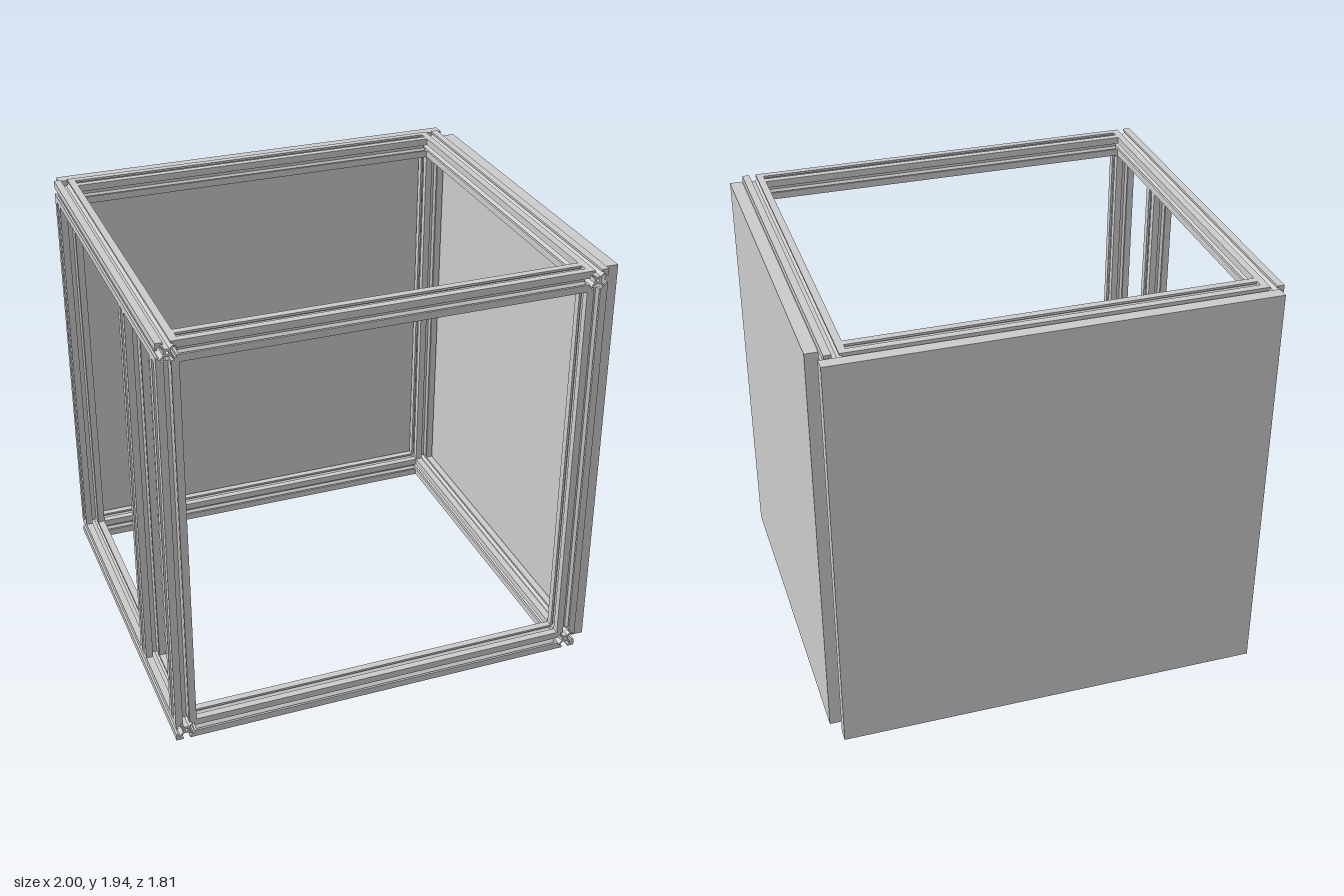
import * as THREE from 'three';

const S = 0.094;          // rail width
const H = S / 2;
const X0 = -1, X1 = 0.935, Y1 = 1.94, Z0 = -0.84, Z1 = 0.905; // outer frame limits

const material = new THREE.MeshStandardMaterial({ color: 0xcccccc, flatShading: true });

// T-slot rail section: one quadrant turned four times, with a centre bore
function railSection() {
  const half = [[0.016, 0.01], [0.03, 0.026], [0.037, 0.026], [0.037, 0.015], [H, 0.015]];
  const quadrant = [...half, [H, H], ...half.map(([x, y]) => [y, x]).reverse()];
  const points = [];
  for (let i = 0; i < 4; i++) {
    const c = [1, 0, -1, 0][i], s = [0, 1, 0, -1][i];
    for (const [x, y] of quadrant) points.push(new THREE.Vector2(c * x - s * y, s * x + c * y));
  }
  const shape = new THREE.Shape(points);
  const bore = new THREE.Path();
  bore.absarc(0, 0, 0.007, 0, Math.PI * 2, true);
  shape.holes.push(bore);
  return shape;
}

const section = railSection();

// Rail of a given length centred on its position, running along one axis
function rail(name, axis, length, x, y, z) {
  const geometry = new THREE.ExtrudeGeometry(section, { depth: length, bevelEnabled: false, curveSegments: 6 });
  geometry.translate(0, 0, -length / 2);
  if (axis === 'x') geometry.rotateY(Math.PI / 2);
  if (axis === 'y') geometry.rotateX(-Math.PI / 2);
  const mesh = new THREE.Mesh(geometry, material);
  mesh.name = name;
  mesh.position.set(x, y, z);
  return mesh;
}

// Flat board given by its limits
function panel(name, x0, x1, y0, y1, z0, z1) {
  const mesh = new THREE.Mesh(new THREE.BoxGeometry(x1 - x0, y1 - y0, z1 - z0), material);
  mesh.name = name;
  mesh.position.set((x0 + x1) / 2, (y0 + y1) / 2, (z0 + z1) / 2);
  return mesh;
}

export function createModel() {
  const model = new THREE.Group();
  model.name = 'panelledFrame';

  const xs = [X0 + H, X1 - H], ys = [H, Y1 - H], zs = [Z0 + H, Z1 - H];
  const midX = (X0 + X1) / 2, midZ = (Z0 + Z1) / 2;

  // Full-length side rails, with cross rails fitted between them
  for (const y of ys) {
    for (const x of xs) model.add(rail('sideRail', 'z', Z1 - Z0, x, y, midZ));
    for (const z of zs) model.add(rail('crossRail', 'x', X1 - X0 - 2 * S, midX, y, z));
  }

  // Corner posts and the extra post on the open side
  const postLength = Y1 - 2 * S;
  for (const x of xs) for (const z of zs) model.add(rail('cornerPost', 'y', postLength, x, Y1 / 2, z));
  model.add(rail('middlePost', 'y', postLength, xs[0], Y1 / 2, 0.375));

  // Boards standing just off the frame
  model.add(panel('backPanel', -0.975, 0.96, 0.025, 1.93, -0.905, -0.85));
  model.add(panel('sidePanel', 0.943, 1, 0.025, 1.93, -0.787, 0.865));

  return model;
}
